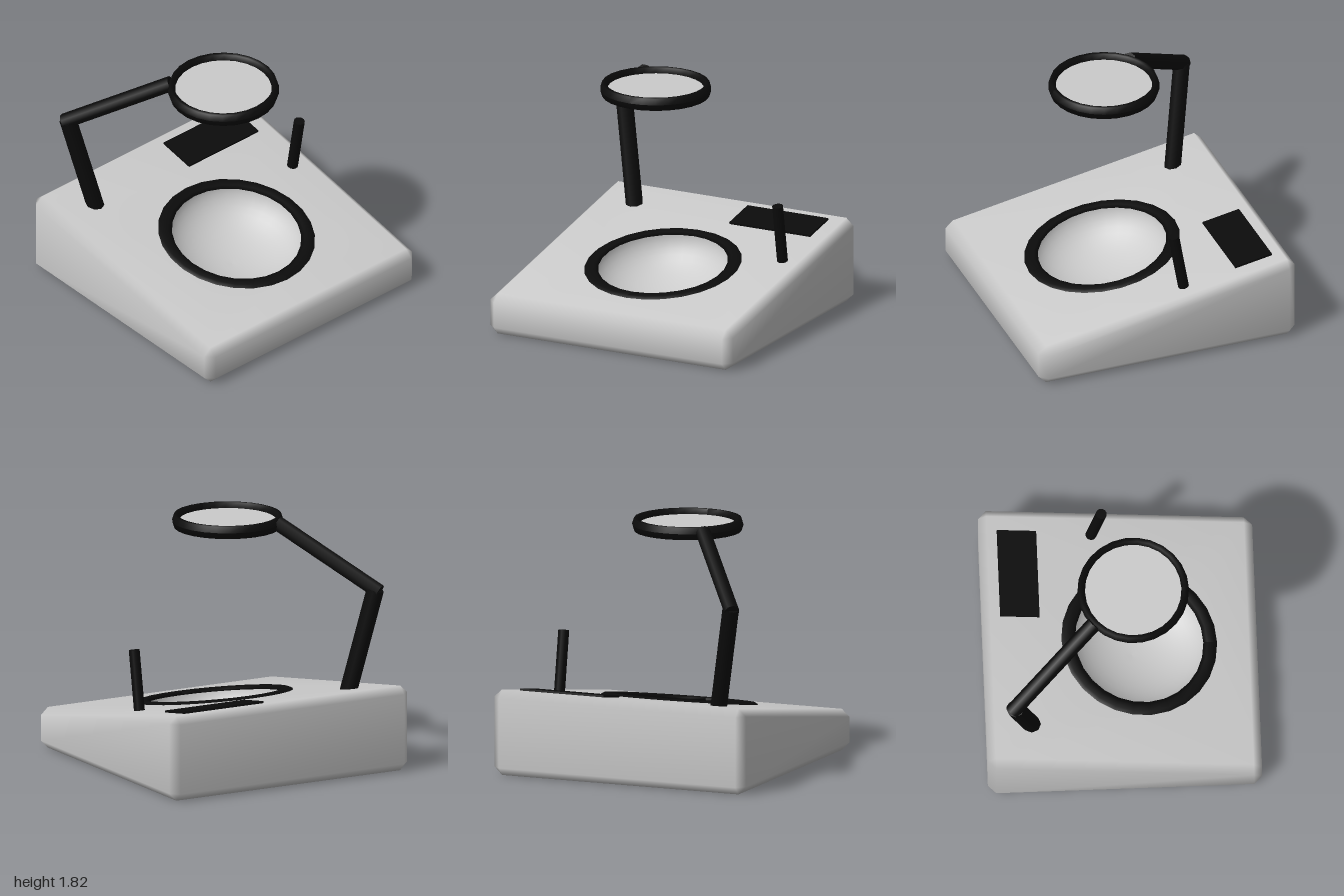
import * as THREE from 'three';
import { mergeVertices } from 'three/addons/utils/BufferGeometryUtils.js';

const SLOPE = -0.1755;                        // fall of the sloping top along x
const topY = (x) => 0.47 + SLOPE * x;
const TILT = Math.atan(SLOPE);
const BOWL_X = 0.14, BOWL_R = 0.52;

const grey = new THREE.MeshStandardMaterial({ color: 0xcccccc });
const greyOpen = new THREE.MeshStandardMaterial({ color: 0xcccccc, side: THREE.DoubleSide });
const black = new THREE.MeshStandardMaterial({ color: 0x0b0b0b });

function add(parent, name, geometry, material) {
  const mesh = new THREE.Mesh(geometry, material);
  mesh.name = name;
  parent.add(mesh);
  return mesh;
}

// Round bar between two points
function bar(parent, name, a, b, radius, sides) {
  const from = new THREE.Vector3(...a), to = new THREE.Vector3(...b);
  const dir = to.clone().sub(from);
  const mesh = add(parent, name, new THREE.CylinderGeometry(radius, radius, dir.length(), sides), black);
  mesh.position.copy(from).add(to).multiplyScalar(0.5);
  mesh.quaternion.setFromUnitVectors(new THREE.Vector3(0, 1, 0), dir.normalize());
  return mesh;
}

// Six-sided ring lying flat, squashed or stretched to the given half height
function ring(parent, name, outer, inner, halfHeight) {
  const tube = (outer - inner) / 2;
  const g = new THREE.TorusGeometry((outer + inner) / 2, tube, 6, 26);
  g.rotateX(Math.PI / 2);
  g.scale(1, halfHeight / (tube * Math.sin(Math.PI / 3)), 1);
  g.computeVertexNormals();
  return add(parent, name, g, black);
}

// Chamfered wedge with a round opening in its sloping top
function wedgeGeometry() {
  const I = 0.94, C = 0.06, pos = [];
  // The three points that cut off one corner, one on each adjoining face
  const corner = (sx, sy, sz) => {
    const edge = sy > 0 ? topY(sx * I) : 0;
    const drop = sy > 0 ? edge - 0.055 : C;
    return {
      x: new THREE.Vector3(sx, drop, sz * I),
      y: new THREE.Vector3(sx * I, edge, sz * I),
      z: new THREE.Vector3(sx * I, drop, sz),
    };
  };
  const c = (sx, sy, sz) => corner(sx, sy, sz);
  const centre = new THREE.Vector3(0, 0.25, 0);
  // Add a convex face, turned outward
  const face = (...p) => {
    const n = p[1].clone().sub(p[0]).cross(p[2].clone().sub(p[0]));
    const mid = p.reduce((s, v) => s.add(v), new THREE.Vector3()).divideScalar(p.length);
    if (n.dot(mid.sub(centre)) < 0) p.reverse();
    for (let i = 1; i < p.length - 1; i++) {
      for (const v of [p[0], p[i], p[i + 1]]) pos.push(v.x, v.y, v.z);
    }
  };
  const S = [-1, 1], loop = [[-1, -1], [1, -1], [1, 1], [-1, 1]];
  // Flat sides and floor
  face(...loop.map(([a, b]) => c(a, -1, b).y));
  for (const s of S) {
    face(...loop.map(([a, b]) => c(s, a, b).x));
    face(...loop.map(([a, b]) => c(a, b, s).z));
  }
  // Edge chamfers
  for (const a of S) for (const b of S) {
    const p = [c(a, b, -1), c(a, b, 1)], q = [c(-1, a, b), c(1, a, b)], r = [c(a, -1, b), c(a, 1, b)];
    face(p[0].x, p[1].x, p[1].y, p[0].y);
    face(q[0].y, q[1].y, q[1].z, q[0].z);
    face(r[0].x, r[1].x, r[1].z, r[0].z);
    // Corner triangles
    for (const d of S) { const k = c(a, b, d); face(k.x, k.y, k.z); }
  }
  // Sloping top with the opening
  const shape = new THREE.Shape(loop.map(([a, b]) => new THREE.Vector2(a * I, b * I)));
  const hole = new THREE.Path();
  hole.absarc(BOWL_X, 0, BOWL_R * Math.cos(TILT), 0, Math.PI * 2, true);
  shape.holes.push(hole);
  const top = new THREE.ShapeGeometry(shape, 24).toNonIndexed().getAttribute('position');
  for (let i = 0; i < top.count; i++) pos.push(top.getX(i), topY(top.getX(i)), -top.getY(i));

  const g = new THREE.BufferGeometry();
  g.setAttribute('position', new THREE.Float32BufferAttribute(pos, 3));
  const merged = mergeVertices(g, 1e-4);
  merged.computeVertexNormals();
  return merged;
}

export function createModel() {
  const model = new THREE.Group();
  model.name = 'deskDevice';

  add(model, 'base', wedgeGeometry(), grey);

  // Bowl and rim, tilted with the top
  const basin = new THREE.Group();
  basin.name = 'basin';
  basin.position.set(BOWL_X, topY(BOWL_X), 0);
  basin.rotation.z = TILT;
  model.add(basin);
  const profile = [];
  for (let i = 0; i <= 12; i++) {
    const t = (i / 12) * Math.PI / 2;
    profile.push(new THREE.Vector2(BOWL_R * Math.sin(t), -0.3 * Math.cos(t)));
  }
  add(basin, 'bowl', new THREE.LatheGeometry(profile, 32), greyOpen);
  ring(basin, 'bowlRim', 0.577, 0.475, 0.015);

  // Thin display panel lying on the slope
  const panel = add(model, 'panel', new THREE.BoxGeometry(0.29, 0.03, 0.665), black);
  panel.position.set(-0.725, topY(-0.725), -0.4975);
  panel.rotation.z = TILT;

  // Lever
  bar(model, 'lever', [-0.185, 0.48, -0.815], [-0.105, 0.94, -0.815], 0.04, 16);

  // Jointed arm
  bar(model, 'lowerArm', [-0.665, 0.56, 0.66], [-0.795, 1.34, 0.815], 0.065, 8);
  bar(model, 'upperArm', [-0.82, 1.325, 0.835], [-0.2, 1.77, 0.335], 0.057, 8);

  // Round head with a disc held in its frame
  const head = new THREE.Group();
  head.name = 'head';
  head.position.set(0.093, 1.76, 0.085);
  model.add(head);
  ring(head, 'headFrame', 0.407, 0.35, 0.046);
  add(head, 'lens', new THREE.CylinderGeometry(0.37, 0.37, 0.012, 26), grey);

  return model;
}
